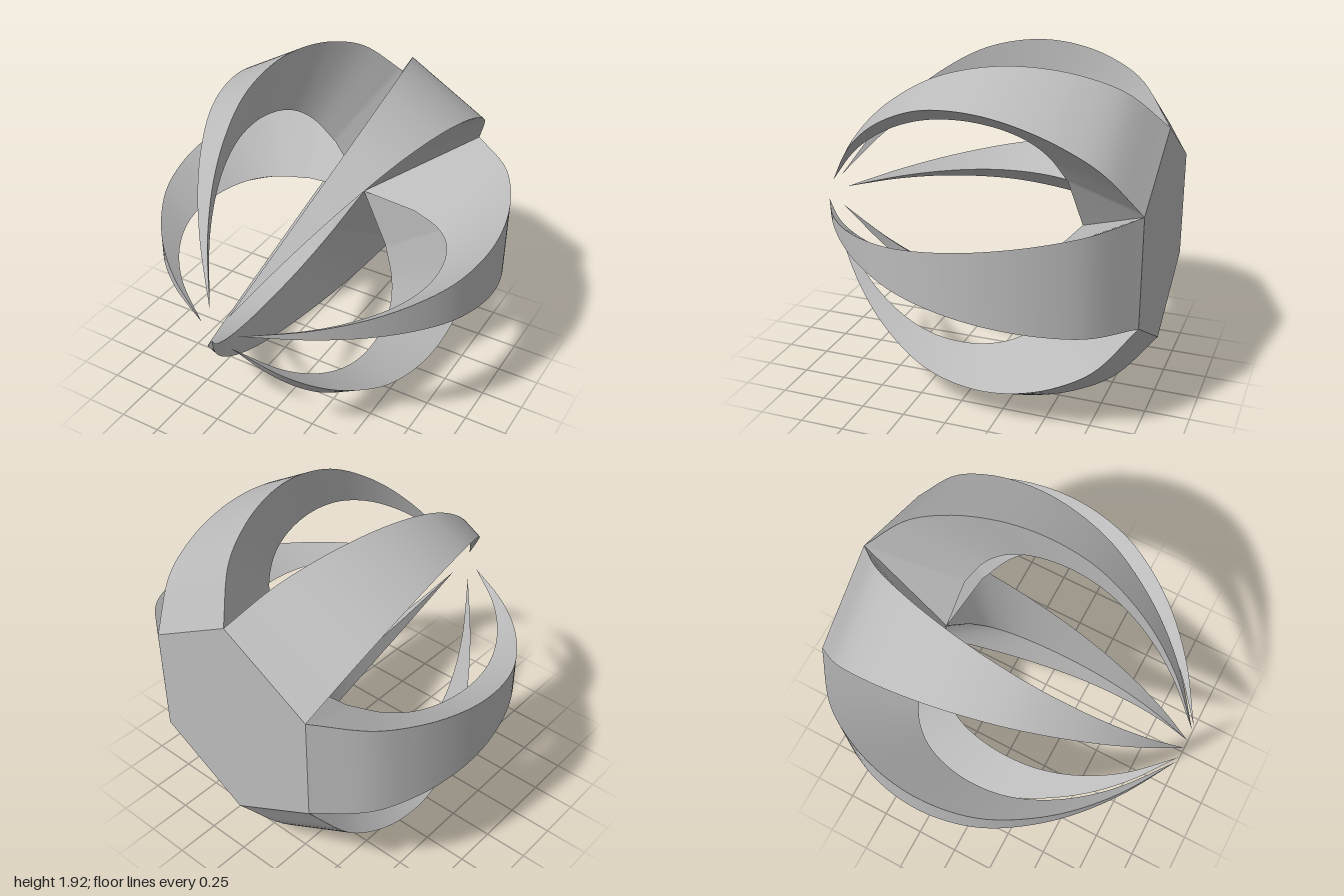
import * as THREE from 'three';

const CENTRE_Y = 0.957;
const STEPS = 66;

// Matching points (radius, z) along the outer band and the inner ridge of an arm
const OUTER = [[0.535, -1], [0.79, -0.8], [0.91, -0.6], [0.975, -0.4], [1, -0.2], [0.985, 0],
  [0.93, 0.2], [0.82, 0.4], [0.66, 0.6], [0.43, 0.8], [0.115, 0.995]];
const RIDGE = [[0.36, -0.5], [0.54, -0.42], [0.64, -0.33], [0.7, -0.23], [0.74, -0.1], [0.755, 0.05],
  [0.735, 0.23], [0.67, 0.41], [0.56, 0.59], [0.4, 0.77], [0.115, 0.995]];

function sample(points) {
  const curve = new THREE.CatmullRomCurve3(points.map(([r, z]) => new THREE.Vector3(r, 0, z)));
  return curve.getPoints(STEPS);
}

// Ruled surface between two matching rows of points
function strip(p, q) {
  const positions = [];
  const index = [];
  p.forEach((a, i) => {
    positions.push(...a.toArray(), ...q[i].toArray());
    if (i < p.length - 1) {
      const k = i * 2;
      index.push(k, k + 1, k + 3, k, k + 3, k + 2);
    }
  });
  const geometry = new THREE.BufferGeometry();
  geometry.setAttribute('position', new THREE.Float32BufferAttribute(positions, 3));
  geometry.setIndex(index);
  geometry.computeVertexNormals();
  return geometry;
}

export function createModel() {
  const model = new THREE.Group();
  model.name = 'sixArmedCage';
  const grey = new THREE.MeshStandardMaterial({ color: 0xbababa, side: THREE.DoubleSide });
  grey.name = 'plain grey';

  // Rows of one arm: the band narrows evenly to a point at the front
  const outer = sample(OUTER);
  const ridge = sample(RIDGE);
  outer.unshift(outer[0].clone());
  ridge.unshift(new THREE.Vector3(0, 0, -0.54));
  const edge = (side) => outer.map((p) =>
    new THREE.Vector3(p.x, side * 0.1545 * Math.max(0, 0.995 - p.z) * 1.0025, p.z));
  const low = edge(-1);
  const high = edge(1);

  const faces = {
    outerBand: strip(low.slice(1), high.slice(1)),
    upperSide: strip(high, ridge),
    lowerSide: strip(ridge, low),
  };

  // Six tapering arms with triangular sections
  for (let i = 0; i < 6; i++) {
    const arm = new THREE.Group();
    arm.name = `arm${i + 1}`;
    for (const [name, geometry] of Object.entries(faces)) {
      const mesh = new THREE.Mesh(geometry, grey);
      mesh.name = name;
      arm.add(mesh);
    }
    arm.rotation.z = i * Math.PI / 3;
    arm.position.y = CENTRE_Y;
    model.add(arm);
  }

  // Hexagonal back face
  const back = new THREE.Mesh(new THREE.CircleGeometry(0.618, 6, Math.PI / 6), grey);
  back.name = 'hexagonBack';
  back.rotation.y = Math.PI;
  back.position.set(0, CENTRE_Y, -1);
  model.add(back);

  return model;
}
